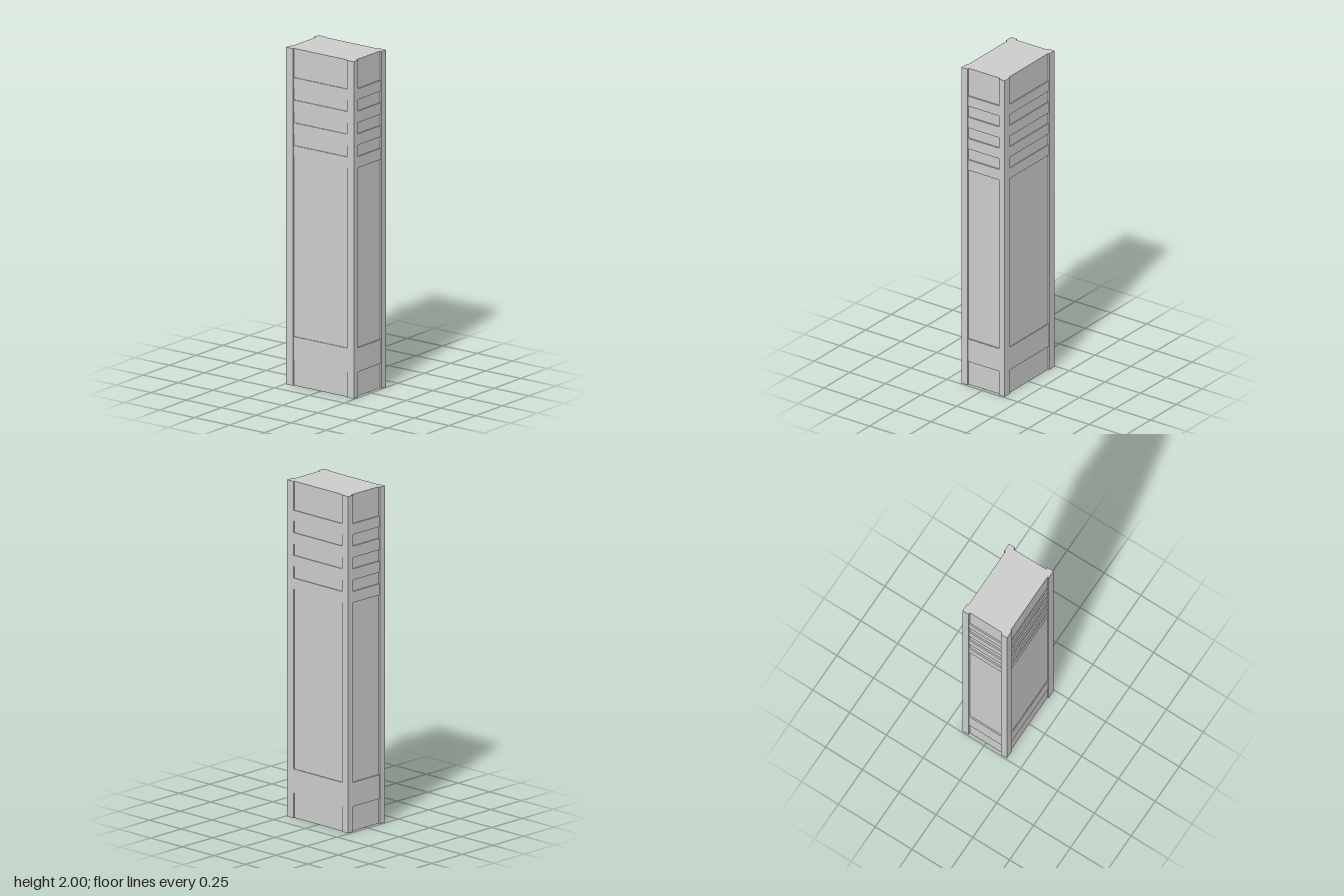
import * as THREE from 'three';

const HEIGHT = 2;
const POST = { x: 0.151, z: 0.242 };      // outer faces of the corner posts
const INNER = { x: 0.11, z: 0.192 };      // where the posts end and panels begin
const PANEL = { x: 0.143, z: 0.2295 };    // recessed panel faces
const BAND = { x: 0.148, z: 0.2375 };     // raised band faces

// bottom and top of each horizontal band
const BANDS = [[0.148, 0.291], [1.359, 1.425], [1.494, 1.56], [1.627, 1.695], [1.764, 1.828]];

export function createModel() {
  const group = new THREE.Group();
  group.name = 'pillar';
  const material = new THREE.MeshStandardMaterial({ color: 0xcccccc, flatShading: true });

  // shaft: rectangular plan with a shallow recess on each side, leaving corner posts
  const quarter = [
    [PANEL.x, INNER.z], [POST.x, INNER.z], [POST.x, POST.z],
    [INNER.x, POST.z], [INNER.x, PANEL.z],
  ];
  const outline = [];
  for (const [sx, sz] of [[1, 1], [-1, 1], [-1, -1], [1, -1]]) {
    const corner = quarter.map(([x, z]) => new THREE.Vector2(x * sx, z * sz));
    outline.push(...(sx * sz > 0 ? corner : corner.reverse()));
  }
  const shaftGeometry = new THREE.ExtrudeGeometry(new THREE.Shape(outline), {
    depth: HEIGHT, bevelEnabled: false,
  });
  shaftGeometry.rotateX(-Math.PI / 2);
  const shaft = new THREE.Mesh(shaftGeometry, material);
  shaft.name = 'shaftWithCornerPosts';
  group.add(shaft);

  // bands: each wraps the shaft between the posts and frames the recessed panels
  BANDS.forEach(([bottom, top], i) => {
    const band = new THREE.Mesh(
      new THREE.BoxGeometry(BAND.x * 2, top - bottom, BAND.z * 2), material);
    band.position.y = (bottom + top) / 2;
    band.name = i === 0 ? 'baseBand' : `upperBand${i}`;
    group.add(band);
  });

  return group;
}
